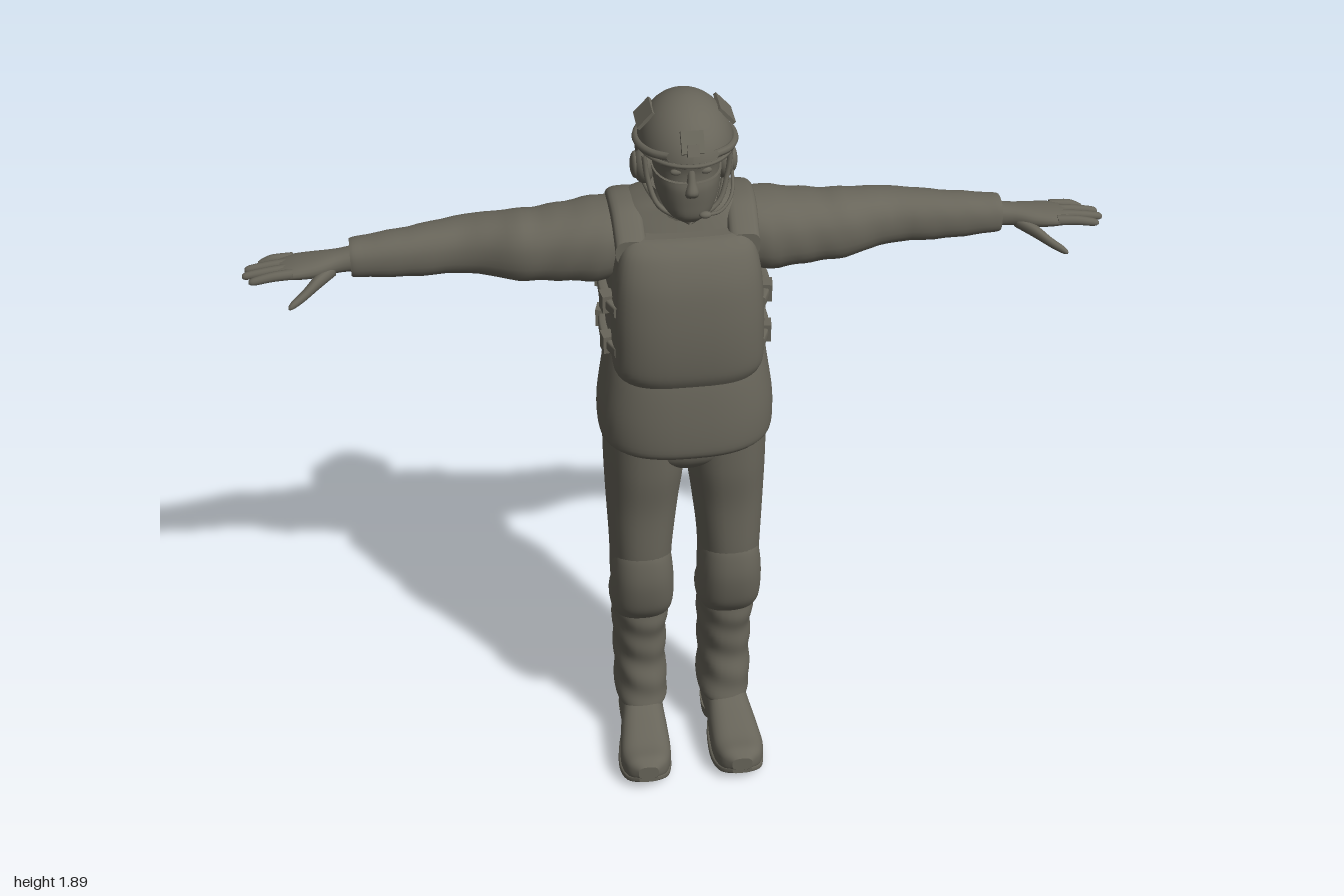
import * as THREE from 'three';

const fabric = new THREE.MeshStandardMaterial({ color: 0x68655a, side: THREE.DoubleSide });
fabric.name = 'olive grey';

function add(parent, name, geometry) {
  const mesh = new THREE.Mesh(geometry, fabric);
  mesh.name = name;
  parent.add(mesh);
  return mesh;
}

// Axis maps: (t along the loft, a and b across it)
const alongY = (t, a, b) => [a, t, b];
const alongX = (t, a, b) => [t, b, a];
const alongZ = (t, a, b) => [a, b, t];

// Smooth body through rows of [t, centreA, centreB, radiusA, radiusB]
function loft(rows, place, { side = 1, power = 2.3, sides = 32, steps = 5, fold } = {}) {
  const at = i => rows[Math.min(Math.max(i, 0), rows.length - 1)];
  const pos = [], index = [], rings = (rows.length - 1) * steps + 1;
  const put = (t, a, b) => { const p = place(t, a, b); pos.push(p[0] * side, p[1], p[2]); };
  const centres = [];
  for (let r = 0; r < rings; r++) {
    const i = Math.min(Math.floor(r / steps), rows.length - 2), f = r / steps - i;
    const [t, ca, cb, ra, rb] = at(i).map((p1, k) => {
      const p0 = at(i - 1)[k], p2 = at(i + 1)[k], p3 = at(i + 2)[k];
      return p1 + 0.5 * f * (p2 - p0 + f * (2 * p0 - 5 * p1 + 4 * p2 - p3 + f * (3 * (p1 - p2) + p3 - p0)));
    });
    centres.push([t, ca, cb]);
    for (let s = 0; s < sides; s++) {
      const w = s / sides * Math.PI * 2, c = Math.cos(w), d = Math.sin(w);
      const k = fold ? 1 + fold(t, w) : 1;
      put(t, ca + ra * k * Math.sign(c) * Math.abs(c) ** (2 / power),
        cb + rb * k * Math.sign(d) * Math.abs(d) ** (2 / power));
    }
  }
  for (let r = 0; r < rings - 1; r++) for (let s = 0; s < sides; s++) {
    const n = (s + 1) % sides, a = r * sides + s, b = r * sides + n;
    index.push(a, a + sides, b, b, a + sides, b + sides);
  }
  // End caps with their own rim, so the edge stays crisp
  for (const r of [0, rings - 1]) {
    const base = pos.length / 3;
    for (let s = 0; s < sides * 3; s++) pos.push(pos[r * sides * 3 + s]);
    put(...centres[r]);
    for (let s = 0; s < sides; s++) {
      const a = base + s, b = base + (s + 1) % sides;
      index.push(...(r ? [a, base + sides, b] : [a, b, base + sides]));
    }
  }
  // Turn the faces outward if the axis map or mirroring inverted them
  const v = i => new THREE.Vector3().fromArray(pos, i * 3);
  let volume = 0;
  for (let i = 0; i < index.length; i += 3) volume += v(index[i]).dot(v(index[i + 1]).cross(v(index[i + 2])));
  if (volume < 0) index.reverse();
  const g = new THREE.BufferGeometry();
  g.setAttribute('position', new THREE.Float32BufferAttribute(pos, 3));
  g.setIndex(index);
  g.computeVertexNormals();
  return g;
}

function tube(points, radius, side = 1) {
  const curve = new THREE.CatmullRomCurve3(points.map(p => new THREE.Vector3(p[0] * side, p[1], p[2])));
  return new THREE.TubeGeometry(curve, 20, radius, 8);
}

function box(parent, name, size, at, rot = [0, 0, 0]) {
  const m = add(parent, name, new THREE.BoxGeometry(...size));
  m.position.set(...at);
  m.rotation.set(...rot);
}

function ball(parent, name, size, at) {
  const m = add(parent, name, new THREE.SphereGeometry(1, 20, 14));
  m.scale.set(...size);
  m.position.set(...at);
}

// Point of the helmet shell: w around (0 = front), p down from the crown
function shellPoint(w, p, grow = 1) {
  return [0.107 * grow * Math.sin(p) * Math.sin(w), 1.765 + 0.12 * grow * Math.cos(p),
    0.003 + 0.137 * grow * Math.sin(p) * Math.cos(w)];
}
const rimAngle = w => 1.45 + 0.68 * THREE.MathUtils.smoothstep(1 - Math.cos(w), 0.75, 1.7);

function helmetShell() {
  const g = new THREE.SphereGeometry(1, 48, 24), uv = g.attributes.uv, pos = g.attributes.position;
  for (let i = 0; i < pos.count; i++) {
    const w = uv.getX(i) * Math.PI * 2;
    pos.setXYZ(i, ...shellPoint(w, (1 - uv.getY(i)) * rimAngle(w)));
  }
  g.computeVertexNormals();
  return g;
}

function buildHead(root) {
  const head = new THREE.Group();
  head.name = 'head';
  root.add(head);
  add(head, 'neck', loft([[1.55, 0, -0.05, 0.075, 0.075], [1.6, 0, -0.04, 0.064, 0.066], [1.7, 0, -0.01, 0.058, 0.062]], alongY));
  add(head, 'face', loft([[1.62, 0, 0.055, 0.028, 0.04], [1.64, 0, 0.04, 0.05, 0.066], [1.68, 0, 0.018, 0.067, 0.094],
    [1.74, 0, 0.008, 0.076, 0.1], [1.79, 0, 0.005, 0.08, 0.11], [1.84, 0, 0, 0.06, 0.08]], alongY));
  add(head, 'mask', loft([[1.615, 0, 0.058, 0.026, 0.036], [1.635, 0, 0.045, 0.052, 0.066], [1.67, 0, 0.025, 0.069, 0.092],
    [1.705, 0, 0.02, 0.075, 0.1], [1.725, 0, 0.014, 0.078, 0.103]], alongY));
  add(head, 'nose', loft([[1.69, 0, 0.105, 0.017, 0.015], [1.705, 0, 0.11, 0.016, 0.022], [1.73, 0, 0.105, 0.01, 0.015],
    [1.765, 0, 0.098, 0.008, 0.008]], alongY, { sides: 14 }));
  add(head, 'helmet', helmetShell());
  const rim = [];
  for (let i = 0; i < 48; i++) { const w = i / 48 * Math.PI * 2; rim.push(new THREE.Vector3(...shellPoint(w, rimAngle(w)))); }
  add(head, 'helmetRim', new THREE.TubeGeometry(new THREE.CatmullRomCurve3(rim, true), 96, 0.005, 6, true));
  box(head, 'frontMount', [0.05, 0.05, 0.016], [0, 1.828, 0.12], [-0.6, 0, 0]);
  box(head, 'mountClip', [0.026, 0.026, 0.02], [0, 1.815, 0.133], [-0.5, 0, 0]);

  for (const s of [1, -1]) {
    ball(head, 'eye', [0.014, 0.008, 0.008], [s * 0.032, 1.748, 0.1]);
    add(head, 'brow', tube([[0.01, 1.763, 0.109], [0.035, 1.768, 0.104], [0.062, 1.76, 0.076]], 0.007, s));
    add(head, 'sideRail', tube([0.5, 0.9, 1.3, 1.7, 2.1, 2.5].map((w, i) =>
      shellPoint(w, 1.3 + 0.05 * i, 1.02)), 0.009, s));
    box(head, 'helmetPatch', [0.008, 0.05, 0.075], [s * 0.089, 1.837, -0.01], [0, 0, s * 0.75]);
    ball(head, 'earCup', [0.026, 0.045, 0.036], [s * 0.09, 1.705, -0.022]);
    ball(head, 'earCupCover', [0.012, 0.032, 0.025], [s * 0.109, 1.705, -0.022]);
    add(head, 'chinStrap', tube([[0.096, 1.76, 0.04], [0.088, 1.7, 0.045], [0.066, 1.645, 0.065], [0, 1.613, 0.09]], 0.006, s));
    add(head, 'neckStrap', tube([[0.085, 1.7, -0.075], [0.09, 1.665, -0.02], [0.068, 1.645, 0.06]], 0.006, s));
  }
  add(head, 'microphoneBoom', tube([[0.108, 1.69, -0.01], [0.1, 1.65, 0.04], [0.065, 1.642, 0.1], [0.035, 1.65, 0.125]], 0.004));
  ball(head, 'microphone', [0.014, 0.008, 0.009], [0.028, 1.652, 0.128]);
}

function buildTorso(root) {
  const torso = new THREE.Group();
  torso.name = 'torso';
  root.add(torso);
  add(torso, 'jacket', loft([[0.995, 0, -0.015, 0.192, 0.148], [1.02, 0, -0.015, 0.207, 0.16], [1.1, 0, -0.01, 0.207, 0.154],
    [1.2, 0, -0.012, 0.193, 0.143], [1.3, 0, -0.035, 0.18, 0.138], [1.4, 0, -0.05, 0.178, 0.142], [1.48, 0, -0.07, 0.185, 0.137],
    [1.55, 0, -0.075, 0.178, 0.112], [1.595, 0, -0.065, 0.135, 0.083], [1.62, 0, -0.05, 0.075, 0.06]],
  alongY, { power: 2.6, sides: 48 }));
  add(torso, 'collar', loft([[1.56, 0, -0.06, 0.11, 0.085], [1.6, 0, -0.055, 0.083, 0.08], [1.645, 0, -0.047, 0.072, 0.068]], alongY));
  add(torso, 'vestFront', loft([[1.195, 0, 0.03, 0.165, 0.1], [1.23, 0, 0.04, 0.176, 0.104], [1.3, 0, 0.045, 0.176, 0.105],
    [1.38, 0, 0.045, 0.174, 0.102], [1.46, 0, 0.042, 0.168, 0.092], [1.52, 0, 0.04, 0.155, 0.068],
    [1.548, 0, 0.04, 0.135, 0.04], [1.555, 0, 0.04, 0.12, 0.02]], alongY, { power: 2.8, sides: 40 }));
  for (const s of [1, -1]) {
    add(torso, 'shoulderStrap', loft([[-0.17, 0.125, 1.54, 0.04, 0.03], [-0.12, 0.128, 1.575, 0.04, 0.022], [-0.06, 0.13, 1.586, 0.038, 0.02],
      [0, 0.13, 1.572, 0.036, 0.025], [0.06, 0.128, 1.525, 0.036, 0.03]], alongZ, { side: s, power: 3, sides: 20 }));
    // Side straps with buckles
    for (const y of [1.385, 1.275]) {
      add(torso, 'sideStrap', loft([[-0.155, 0.137, y, 0.012, 0.013], [-0.1, 0.175, y, 0.012, 0.014], [-0.04, 0.186, y, 0.012, 0.014],
        [0.03, 0.182, y, 0.012, 0.014], [0.085, 0.162, y, 0.012, 0.014]], alongZ, { side: s, power: 4, sides: 16 }));
      for (const z of [0.03, -0.085]) box(torso, 'buckle', [0.028, 0.044, 0.035], [s * 0.184, y, z], [0, s * (z > 0 ? -0.15 : 0.25), 0]);
    }
  }
}

function buildArm(root, s) {
  const arm = new THREE.Group();
  arm.name = s > 0 ? 'leftArm' : 'rightArm';
  root.add(arm);
  add(arm, 'sleeve', loft([[0.1, -0.08, 1.5, 0.095, 0.085], [0.2, -0.077, 1.49, 0.1, 0.092], [0.3, -0.082, 1.484, 0.087, 0.083],
    [0.38, -0.085, 1.482, 0.08, 0.079], [0.49, -0.11, 1.479, 0.066, 0.065], [0.62, -0.1, 1.475, 0.054, 0.056],
    [0.73, -0.096, 1.473, 0.046, 0.046], [0.755, -0.096, 1.472, 0.042, 0.042]], alongX,
  { side: s, sides: 28, fold: (t, w) => 0.02 * Math.sin(t * 75 + 2 * Math.sin(w)) * Math.sin(w + t * 9) }));
  add(arm, 'palm', loft([[0.73, -0.095, 1.472, 0.032, 0.03], [0.78, -0.092, 1.469, 0.031, 0.025], [0.83, -0.088, 1.465, 0.043, 0.023],
    [0.88, -0.087, 1.463, 0.048, 0.018], [0.915, -0.087, 1.461, 0.043, 0.012]], alongX, { side: s, sides: 20 }));
  const reach = [0.985, 1.0, 0.995, 0.965];
  reach.forEach((x, i) => {
    const z = -0.052 - 0.024 * i, tip = -0.047 - 0.027 * i;
    add(arm, 'finger', loft([[0.885, z, 1.465, 0.0125, 0.012], [0.93, (z + tip) / 2, 1.463, 0.011, 0.011], [x - 0.012, tip, 1.456, 0.009, 0.009],
      [x, tip, 1.454, 0.004, 0.004]], alongX, { side: s, sides: 12 }));
  });
  add(arm, 'thumb', loft([[0.79, -0.075, 1.458, 0.016, 0.014], [0.83, -0.045, 1.446, 0.021, 0.016], [0.865, -0.015, 1.428, 0.015, 0.012],
    [0.89, 0.002, 1.417, 0.011, 0.009], [0.9, 0.008, 1.413, 0.004, 0.004]], alongX, { side: s, sides: 14 }));
}

function buildLeg(root, s) {
  const leg = new THREE.Group();
  leg.name = s > 0 ? 'leftLeg' : 'rightLeg';
  root.add(leg);
  // Trousers, wrinkled below the knee
  const fold = (t, w) => 0.035 * (1 - THREE.MathUtils.smoothstep(t, 0.4, 0.62)) * Math.sin(t * 62 + 2 * Math.sin(w + s));
  add(leg, 'trouserLeg', loft([[0.115, 0.108, -0.063, 0.063, 0.09], [0.135, 0.108, -0.062, 0.068, 0.094], [0.22, 0.11, -0.073, 0.066, 0.096],
    [0.3, 0.11, -0.076, 0.067, 0.097], [0.38, 0.11, -0.065, 0.069, 0.099], [0.45, 0.11, -0.054, 0.075, 0.095],
    [0.53, 0.11, -0.027, 0.075, 0.098], [0.65, 0.11, -0.013, 0.077, 0.102], [0.8, 0.105, -0.017, 0.088, 0.112],
    [0.92, 0.099, -0.02, 0.097, 0.13], [1.05, 0.098, -0.02, 0.098, 0.135]], alongY, { side: s, steps: 8, fold }));
  add(leg, 'kneePad', loft([[0.435, 0.11, 0, 0.055, 0.035], [0.455, 0.11, 0.005, 0.07, 0.05], [0.5, 0.11, 0.015, 0.077, 0.066],
    [0.58, 0.11, 0.022, 0.077, 0.075], [0.65, 0.11, 0.022, 0.068, 0.071], [0.69, 0.11, 0.02, 0.045, 0.06]], alongY, { side: s }));
  add(leg, 'bootShaft', loft([[0.06, 0.112, -0.06, 0.055, 0.075], [0.12, 0.11, -0.055, 0.056, 0.075], [0.2, 0.11, -0.065, 0.05, 0.07]], alongY, { side: s }));
  add(leg, 'boot', loft([[-0.145, 0.108, 0.062, 0.035, 0.04], [-0.125, 0.108, 0.068, 0.052, 0.055], [-0.06, 0.11, 0.077, 0.057, 0.063],
    [0, 0.112, 0.08, 0.055, 0.063], [0.07, 0.116, 0.064, 0.062, 0.058], [0.14, 0.12, 0.055, 0.065, 0.047],
    [0.185, 0.121, 0.059, 0.052, 0.038], [0.208, 0.121, 0.063, 0.026, 0.02]], alongZ, { side: s, power: 2.8 }));
  // Sole and heel
  add(leg, 'sole', loft([[-0.02, 0.113, 0.022, 0.05, 0.01], [0.04, 0.116, 0.012, 0.063, 0.012], [0.12, 0.12, 0.014, 0.068, 0.012],
    [0.18, 0.121, 0.028, 0.055, 0.012], [0.207, 0.121, 0.042, 0.025, 0.01]], alongZ, { side: s, power: 4 }));
  add(leg, 'heel', loft([[0.002, 0.109, -0.087, 0.053, 0.056], [0.035, 0.109, -0.085, 0.056, 0.06]], alongY, { side: s, power: 3 }));
}

export function createModel() {
  const root = new THREE.Group();
  root.name = 'soldier';
  buildHead(root);
  buildTorso(root);
  add(root, 'hips', loft([[0.9, 0, -0.02, 0.03, 0.06], [0.93, 0, -0.02, 0.08, 0.1], [0.97, 0, -0.02, 0.16, 0.128], [1.04, 0, -0.02, 0.19, 0.137]], alongY));
  for (const s of [1, -1]) { buildArm(root, s); buildLeg(root, s); }
  return root;
}
